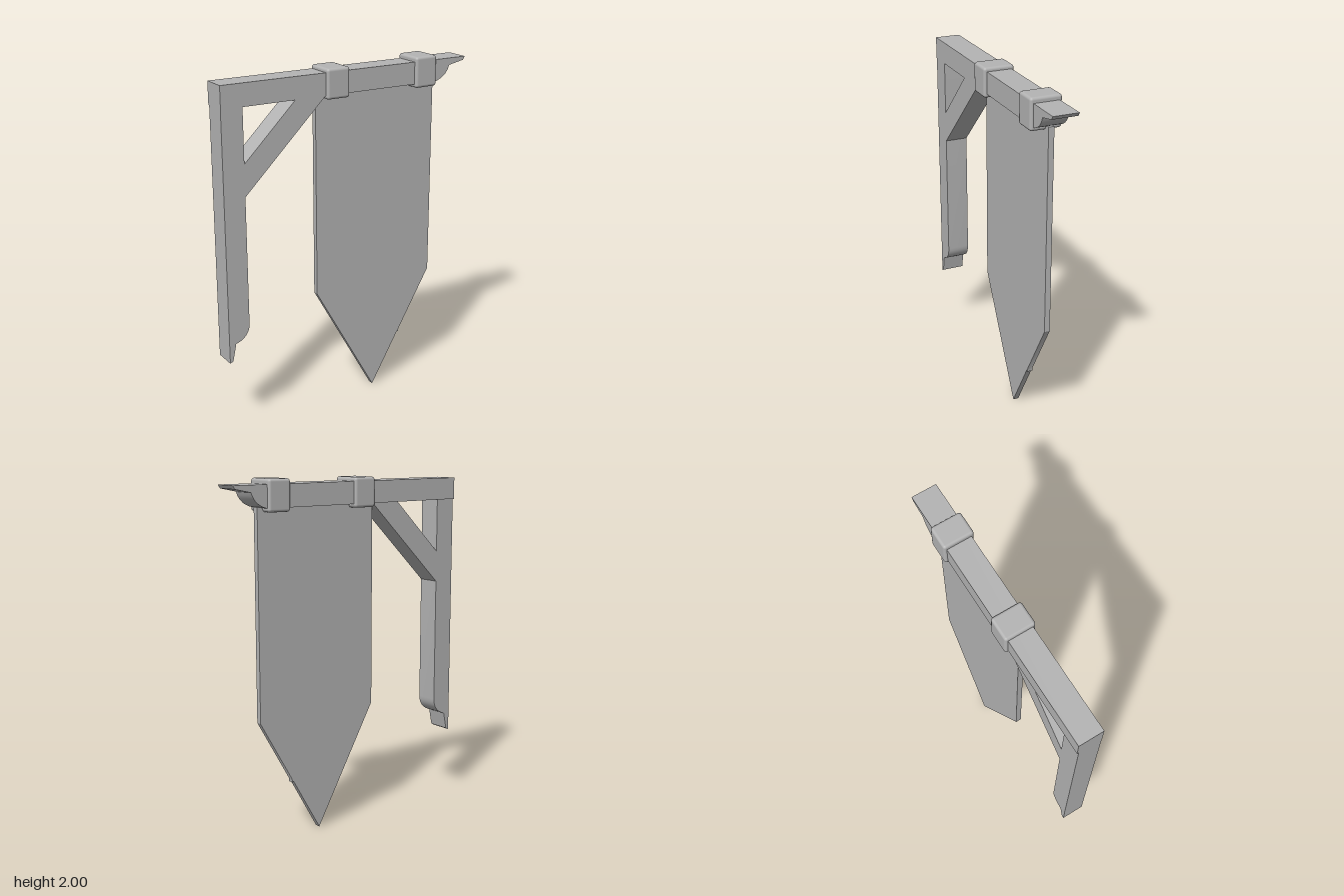
import * as THREE from 'three';
import { RoundedBoxGeometry } from 'three/addons/geometries/RoundedBoxGeometry.js';
import { toCreasedNormals } from 'three/addons/utils/BufferGeometryUtils.js';

export function createModel() {
  const model = new THREE.Group();
  const grey = new THREE.MeshStandardMaterial({ color: 0xb4b4b4 });
  grey.name = 'plain grey';

  const add = (name, geometry) => {
    const mesh = new THREE.Mesh(geometry, grey);
    mesh.name = name;
    model.add(mesh);
    return mesh;
  };

  // Extrudes an x-y outline between two z values
  const slab = (name, shape, z0, z1) => {
    const g = new THREE.ExtrudeGeometry(shape, { depth: z1 - z0, bevelEnabled: false, curveSegments: 8 });
    g.translate(0, 0, z0);
    return add(name, toCreasedNormals(g, 0.5));
  };
  const polygon = (points) => new THREE.Shape(points.map(([x, y]) => new THREE.Vector2(x, y)));

  // Horizontal beam with a carved free end
  const beam = new THREE.Shape();
  beam.moveTo(-0.775, 1.97);
  beam.lineTo(-0.775, 1.845);
  beam.lineTo(0.565, 1.845);
  beam.bezierCurveTo(0.61, 1.855, 0.65, 1.88, 0.665, 1.93);
  beam.lineTo(0.762, 1.95);
  beam.lineTo(0.775, 1.97);
  slab('beam', beam, -0.076, 0.068);

  // Upright post with a carved foot
  const post = new THREE.Shape();
  post.moveTo(-0.775, 1.845);
  post.lineTo(-0.775, 0.42);
  post.lineTo(-0.756, 0.43);
  post.lineTo(-0.735, 0.53);
  post.bezierCurveTo(-0.69, 0.54, -0.65, 0.575, -0.65, 0.63);
  post.lineTo(-0.65, 1.845);
  slab('post', post, -0.066, 0.066);

  // Diagonal brace
  slab('brace', polygon([[-0.65, 1.36], [-0.155, 1.845], [-0.34, 1.845], [-0.65, 1.54]]), -0.066, 0.066);

  // Hanging pointed banner with a small nick on its slanted edge
  slab('banner', polygon([
    [-0.18, 1.85], [-0.18, 0.68], [0.205, 0], [0.385, 0.312],
    [0.392, 0.305], [0.394, 0.325], [0.6, 0.68], [0.6, 1.85],
  ]), -0.031, 0.001);

  // Straps around the beam
  for (const [name, x, y, width, height, tilt] of [
    ['innerStrap', -0.082, 1.908, 0.142, 0.168, 0],
    ['outerStrap', 0.495, 1.911, 0.14, 0.175, 0.01],
  ]) {
    const strap = add(name, new RoundedBoxGeometry(width, height, 0.178, 2, 0.016));
    strap.position.set(x, y, -0.003);
    strap.rotation.z = tilt;
  }

  return model;
}
